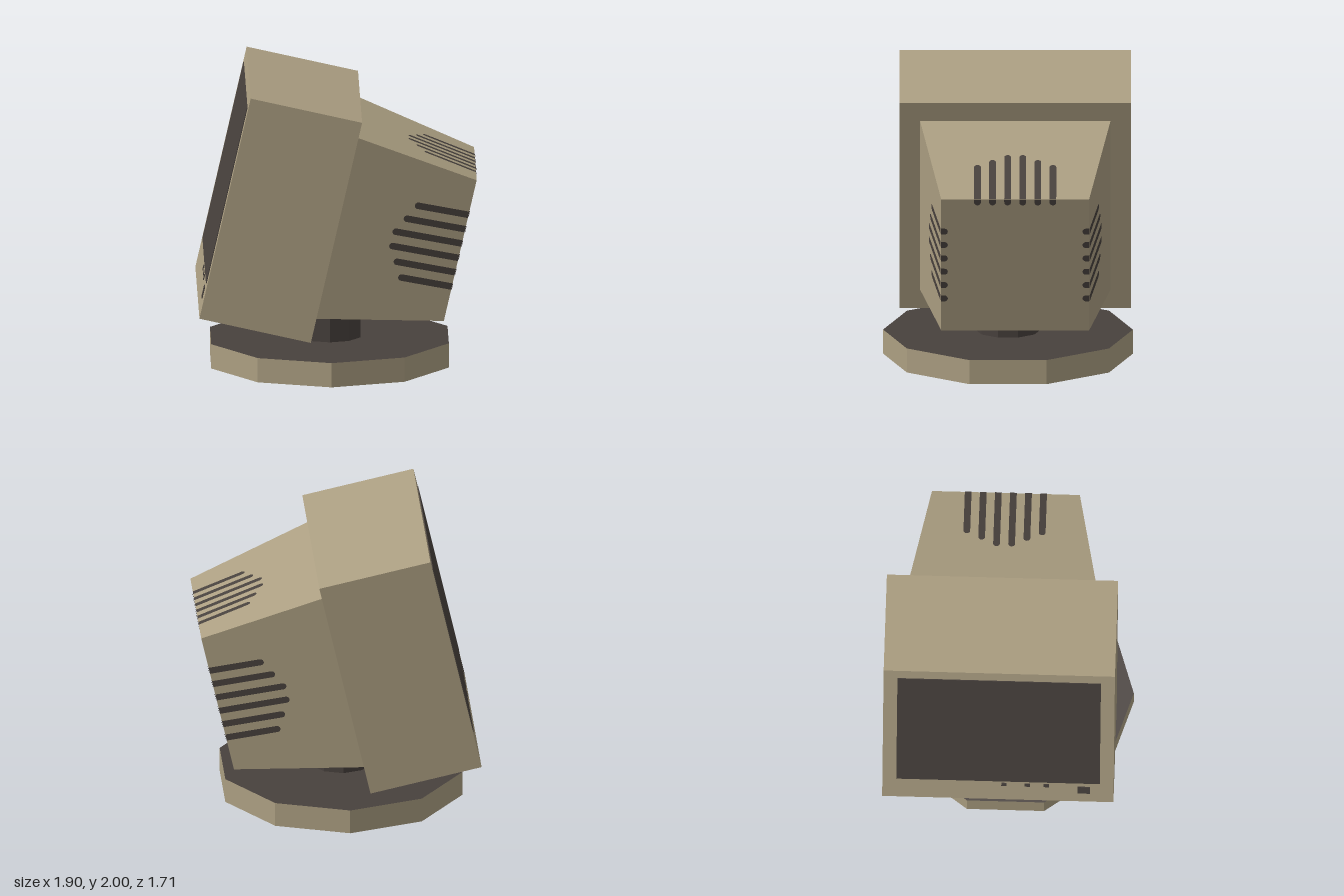
import * as THREE from 'three';

const { DoubleSide } = THREE;
const beige = new THREE.MeshStandardMaterial({ color: 0xac9f82, flatShading: true, side: DoubleSide });
beige.name = 'beige plastic';
const dark = new THREE.MeshStandardMaterial({ color: 0x48413d, flatShading: true, side: DoubleSide });
dark.name = 'dark plastic';

function add(parent, name, geometry, material, x = 0, y = 0, z = 0) {
  const mesh = new THREE.Mesh(geometry, material);
  mesh.name = name;
  mesh.position.set(x, y, z);
  parent.add(mesh);
  return mesh;
}

// Flat slot facing +y, running along +x, rounded at its start
function slotGeometry(length, width = 0.046) {
  const r = width / 2;
  const shape = new THREE.Shape();
  shape.moveTo(length, -r);
  shape.lineTo(length, r);
  shape.lineTo(r, r);
  shape.absarc(r, 0, r, Math.PI / 2, Math.PI * 1.5, false);
  return new THREE.ShapeGeometry(shape, 6).rotateX(-Math.PI / 2);
}

// Housing: square taper from the case back to the rear panel
const FRONT = 0.39, REAR = 1.262, FRONT_HALF = 0.65, REAR_HALF = 0.505;
const DEPTH = REAR - FRONT;
const SLOPE = Math.atan2(FRONT_HALF - REAR_HALF, DEPTH);

// Six slots on one housing side, each wrapping a little onto the rear panel
function ventSet(name, angle) {
  const vents = new THREE.Group();
  vents.name = name;
  const starts = [0.885, 0.83, 0.775, 0.775, 0.83, 0.885];
  starts.forEach((x, i) => {
    const z = (i - 2.5) * 0.103;
    const y = FRONT_HALF - Math.tan(SLOPE) * (x - FRONT) + 0.004;
    const slot = slotGeometry((REAR - x) / Math.cos(SLOPE)).rotateZ(-SLOPE);
    add(vents, 'ventSlot', slot, dark, x, y, z);
    const stub = slotGeometry(0.045).rotateX(Math.PI).rotateZ(Math.PI / 2);
    add(vents, 'ventSlotEnd', stub, dark, REAR + 0.004, REAR_HALF - 0.045, z);
  });
  vents.rotation.x = angle;
  return vents;
}

export function createModel() {
  const model = new THREE.Group();
  model.name = 'monitor';

  // Ten-sided stand, hollow underneath
  const stand = new THREE.Group();
  stand.name = 'stand';
  stand.position.x = -0.05;
  model.add(stand);
  add(stand, 'baseRim', new THREE.CylinderGeometry(0.853, 0.853, 0.17, 10, 1, true), beige, 0, 0.085, 0);
  const disc = new THREE.RingGeometry(0.223, 0.853, 10, 1, Math.PI / 2).rotateX(-Math.PI / 2);
  add(stand, 'baseTop', disc, dark, 0, 0.17, 0);
  add(stand, 'neck', new THREE.CylinderGeometry(0.223, 0.223, 0.42, 10, 1, true), dark, 0, 0.38, 0);

  // Tilted head, screen towards -x
  const head = new THREE.Group();
  head.name = 'head';
  head.position.set(-0.395, 1.143, -0.05);
  head.rotation.z = -0.2235;
  model.add(head);
  add(head, 'case', new THREE.BoxGeometry(0.78, 1.58, 1.58), beige);

  // Housing sides, open underneath for the neck
  const sides = new THREE.CylinderGeometry(REAR_HALF * Math.SQRT2, FRONT_HALF * Math.SQRT2, DEPTH,
    3, 1, true, Math.PI * 0.75, Math.PI * 1.5).rotateZ(-Math.PI / 2);
  add(head, 'rearHousing', sides, beige, (FRONT + REAR) / 2, 0, 0);
  const panel = new THREE.PlaneGeometry(REAR_HALF * 2, REAR_HALF * 2).rotateY(Math.PI / 2);
  add(head, 'rearPanel', panel, beige, REAR, 0, 0);

  head.add(ventSet('topVents', 0), ventSet('leftVents', Math.PI / 2), ventSet('rightVents', -Math.PI / 2));

  // Screen and controls as thin plates
  const plate = (name, y, z, h, w) =>
    add(head, name, new THREE.BoxGeometry(0.008, h, w), dark, -0.391, y, z);
  plate('screen', 0.07, 0, 1.26, 1.39);
  plate('powerButton', -0.645, 0.585, 0.08, 0.085);
  for (const z of [0.33, 0.2, 0.04]) plate('controlButton', -0.6, z, 0.035, 0.035);

  return model;
}
